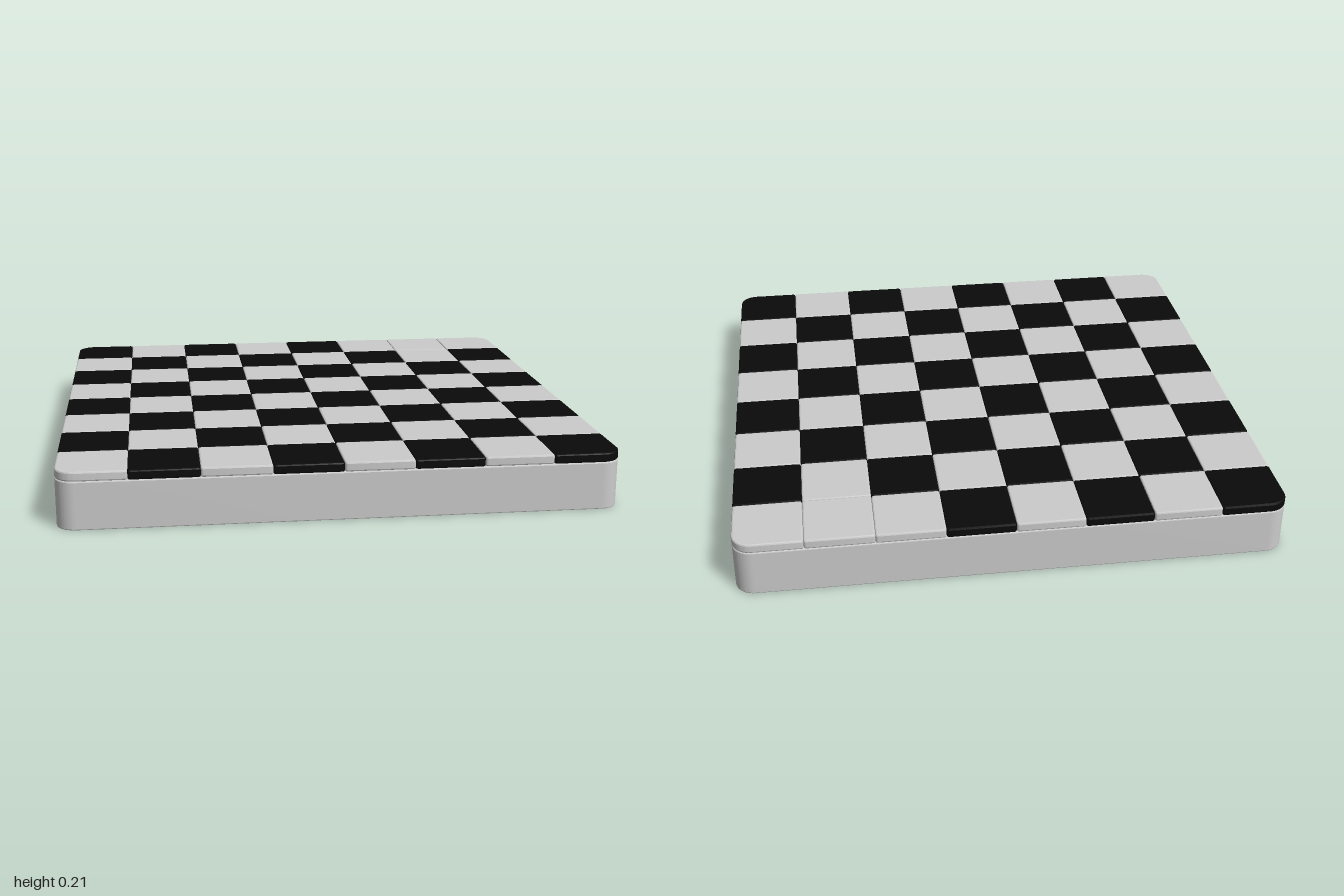
import * as THREE from 'three';
import { toCreasedNormals } from 'three/addons/utils/BufferGeometryUtils.js';

const SIZE = 2, CELLS = 8, CELL = SIZE / CELLS;
const BASE_TOP = 0.175, TOP = 0.21;
const CORNER = 0.07, TILE_CORNER = 0.01;

// Square slab lying flat, with its own radius per corner:
// back-left, back-right, front-right, front-left as seen from above
function slab(width, y0, y1, [bl, br, fr, fl], bevel, curveSegments) {
  const h = width / 2;
  const s = new THREE.Shape();
  s.absarc(h - br, h - br, br, 0, Math.PI / 2);
  s.absarc(-h + bl, h - bl, bl, Math.PI / 2, Math.PI);
  s.absarc(-h + fl, -h + fl, fl, Math.PI, Math.PI * 1.5);
  s.absarc(h - fr, -h + fr, fr, Math.PI * 1.5, Math.PI * 2);
  s.closePath();
  const g = new THREE.ExtrudeGeometry(s, {
    depth: y1 - y0 - 2 * bevel,
    bevelThickness: bevel, bevelSize: bevel, bevelOffset: -bevel,
    bevelSegments: 2, curveSegments,
  });
  g.rotateX(-Math.PI / 2);
  g.translate(0, y0 + bevel, 0);
  return toCreasedNormals(g, 0.3);
}

export function createModel() {
  const board = new THREE.Group();
  board.name = 'checkerboard';
  const light = new THREE.MeshStandardMaterial({ color: 0xcccccc });
  const dark = new THREE.MeshStandardMaterial({ color: 0x0a0a0a });

  // Solid base with rounded corners
  const base = new THREE.Mesh(
    slab(SIZE, 0, BASE_TOP, Array(4).fill(CORNER), 0.004, 12), light);
  base.name = 'base';
  board.add(base);

  // Raised tiles; the four outer ones follow the base corners
  const tiles = new THREE.Group();
  tiles.name = 'tiles';
  board.add(tiles);
  const last = CELLS - 1;
  const plain = slab(CELL, BASE_TOP, TOP, Array(4).fill(TILE_CORNER), 0.006, 3);
  const cornerTile = (index) => slab(CELL, BASE_TOP, TOP,
    [0, 1, 2, 3].map((i) => (i === index ? CORNER : TILE_CORNER)), 0.006, 8);

  for (let row = 0; row < CELLS; row++) {
    for (let col = 0; col < CELLS; col++) {
      const corner = [[0, 0], [0, last], [last, last], [last, 0]]
        .findIndex(([r, c]) => r === row && c === col);
      // One back-row square breaks the alternation and stays light
      const isDark = (row + col) % 2 === 0 && !(row === 0 && col === 6);
      const tile = new THREE.Mesh(corner < 0 ? plain : cornerTile(corner), isDark ? dark : light);
      tile.name = isDark ? 'darkTile' : 'lightTile';
      tile.position.set((col + 0.5) * CELL - SIZE / 2, 0, (row + 0.5) * CELL - SIZE / 2);
      tiles.add(tile);
    }
  }
  return board;
}
